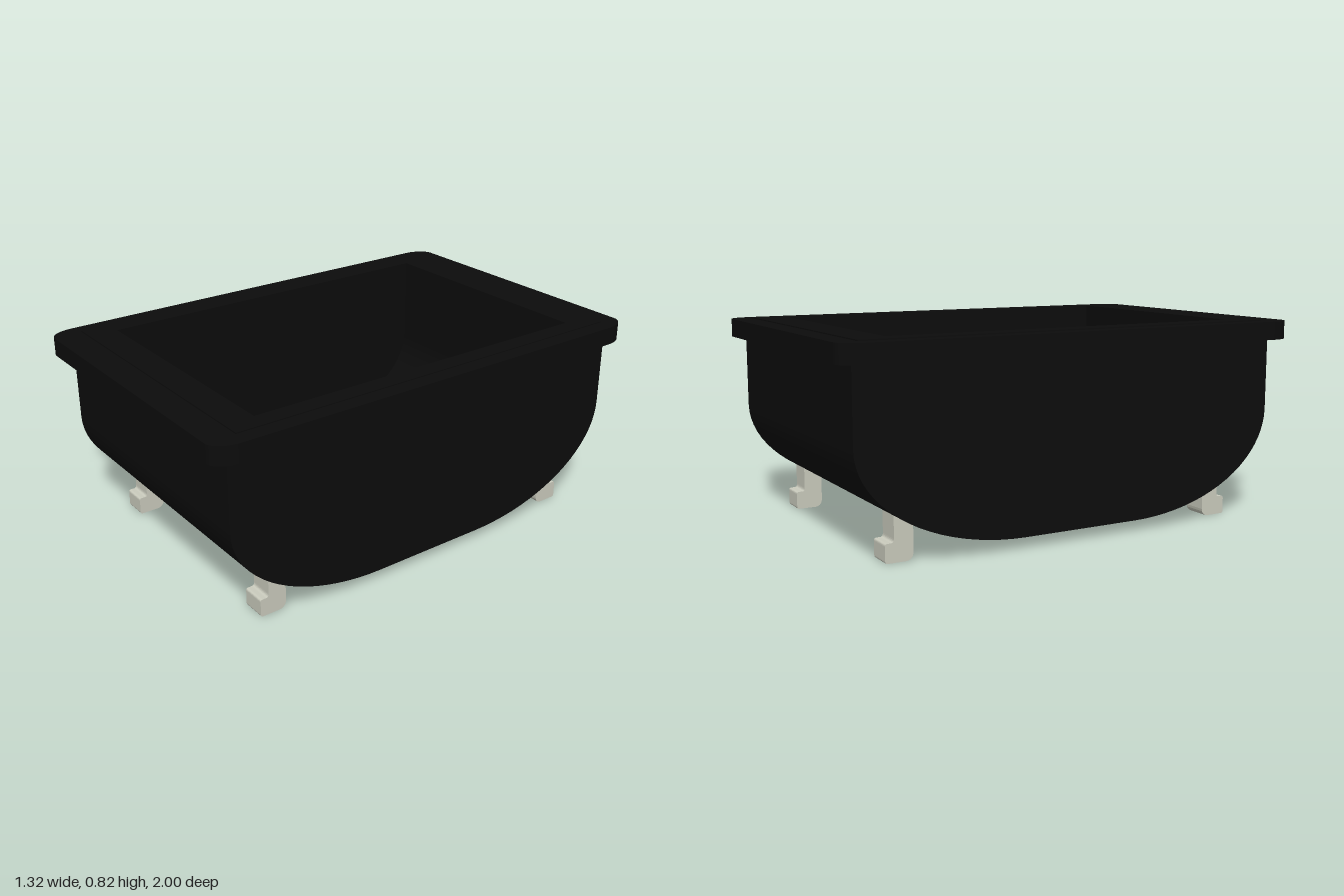
import * as THREE from 'three';

const black = new THREE.MeshStandardMaterial({ color: 0x0c0c0c });
black.name = 'black enamel';
const ivory = new THREE.MeshStandardMaterial({ color: 0xcacbbd });
ivory.name = 'pale stone';

function add(parent, name, geometry, material) {
  const mesh = new THREE.Mesh(geometry, material);
  mesh.name = name;
  parent.add(mesh);
}

// U-shaped side profile as [z, y], running from the front rim under to the back rim
function tubProfile(front, back, top, spring, floor) {
  const flat = 0.25, n = 20, pts = [[front, top]];
  for (let i = 0; i <= n; i++) {
    const a = (i / n) * Math.PI / 2;
    pts.push([flat + (front - flat) * Math.cos(a), spring - (spring - floor) * Math.sin(a)]);
  }
  for (let i = n; i >= 0; i--) {
    const a = (i / n) * Math.PI / 2;
    pts.push([-flat + (back + flat) * Math.cos(a), spring - (spring - floor) * Math.sin(a)]);
  }
  pts.push([back, top]);
  return pts;
}

// Smooth strip following a profile from x0 to x1
function ribbon(profile, x0, x1) {
  const pos = [], index = [];
  profile.forEach(([z, y], i) => {
    pos.push(x0, y, z, x1, y, z);
    if (i < profile.length - 1) {
      const a = i * 2;
      index.push(a, a + 2, a + 1, a + 1, a + 2, a + 3);
    }
  });
  const g = new THREE.BufferGeometry();
  g.setAttribute('position', new THREE.Float32BufferAttribute(pos, 3));
  g.setIndex(index);
  g.computeVertexNormals();
  return g;
}

// Flat wall at x filling a profile, facing +x (dir 1) or -x (dir -1)
function endWall(profile, x, dir) {
  const shape = new THREE.Shape(profile.map(([z, y]) => new THREE.Vector2(-dir * z, y)));
  return new THREE.ShapeGeometry(shape).rotateY(dir * Math.PI / 2).translate(x, 0, 0);
}

// Horizontal frame with elliptical outer corners around the basin opening
function frame(x0, x1, z0, z1, rx, rz, y0, y1) {
  const s = new THREE.Shape();
  if (rx > 0) {
    const q = Math.PI / 2;
    s.absellipse(x1 - rx, -z0 - rz, rx, rz, 0, q, false);
    s.absellipse(x0 + rx, -z0 - rz, rx, rz, q, 2 * q, false);
    s.absellipse(x0 + rx, -z1 + rz, rx, rz, 2 * q, 3 * q, false);
    s.absellipse(x1 - rx, -z1 + rz, rx, rz, 3 * q, 4 * q, false);
  } else {
    s.moveTo(x0, -z0).lineTo(x0, -z1).lineTo(x1, -z1).lineTo(x1, -z0);
  }
  const hole = new THREE.Path();
  hole.moveTo(-0.52, 0.78).lineTo(0.52, 0.78).lineTo(0.52, -0.76).lineTo(-0.52, -0.76);
  s.holes.push(hole);
  return new THREE.ExtrudeGeometry(s, { depth: y1 - y0, bevelEnabled: false, curveSegments: 8 })
    .rotateX(-Math.PI / 2).translate(0, y0, 0);
}

// Foot with an outward toe; "inner" is the distance of its inside face from the centre
function footGeometry(inner, side, x0) {
  const s = new THREE.Shape();
  const p = (o, y) => [-side * (inner + o), y];
  s.moveTo(...p(0, 0.2));
  s.lineTo(...p(0, 0.03));
  s.quadraticCurveTo(...p(0.002, 0.002), ...p(0.03, 0));
  s.lineTo(...p(0.103, 0));
  s.quadraticCurveTo(...p(0.113, 0), ...p(0.113, 0.01));
  s.lineTo(...p(0.113, 0.065));
  s.quadraticCurveTo(...p(0.113, 0.075), ...p(0.103, 0.075));
  s.lineTo(...p(0.088, 0.075));
  s.quadraticCurveTo(...p(0.077, 0.075), ...p(0.077, 0.09));
  s.lineTo(...p(0.077, 0.2));
  return new THREE.ExtrudeGeometry(s, { depth: 0.1, bevelEnabled: false, curveSegments: 5 })
    .rotateY(Math.PI / 2).translate(x0, 0, 0);
}

export function createModel() {
  const model = new THREE.Group();
  model.name = 'bathtub';

  // Outer shell
  const outer = tubProfile(0.92, -0.94, 0.82, 0.45, 0.047);
  add(model, 'shell', ribbon(outer, -0.6, 0.595), black);
  add(model, 'shellLeftSide', endWall(outer, 0.595, 1), black);
  add(model, 'shellRightSide', endWall(outer, -0.6, -1), black);

  // Inner basin, facing inward
  const inner = tubProfile(0.76, -0.78, 0.82, 0.46, 0.125);
  add(model, 'basin', ribbon([...inner].reverse(), -0.52, 0.52), black);
  add(model, 'basinLeftSide', endWall(inner, 0.52, -1), black);
  add(model, 'basinRightSide', endWall(inner, -0.52, 1), black);

  // Overhanging rim and the slight raised lip on it
  add(model, 'rim', frame(-0.662, 0.66, -1, 1, 0.07, 0.1, 0.745, 0.82), black);
  add(model, 'rimLip', frame(-0.6, 0.595, -0.915, 0.88, 0, 0, 0.82, 0.825), black);

  // Four feet
  add(model, 'frontLeftFoot', footGeometry(0.652, 1, 0.427), ivory);
  add(model, 'frontRightFoot', footGeometry(0.652, 1, -0.532), ivory);
  add(model, 'backLeftFoot', footGeometry(0.68, -1, 0.427), ivory);
  add(model, 'backRightFoot', footGeometry(0.68, -1, -0.518), ivory);

  return model;
}
